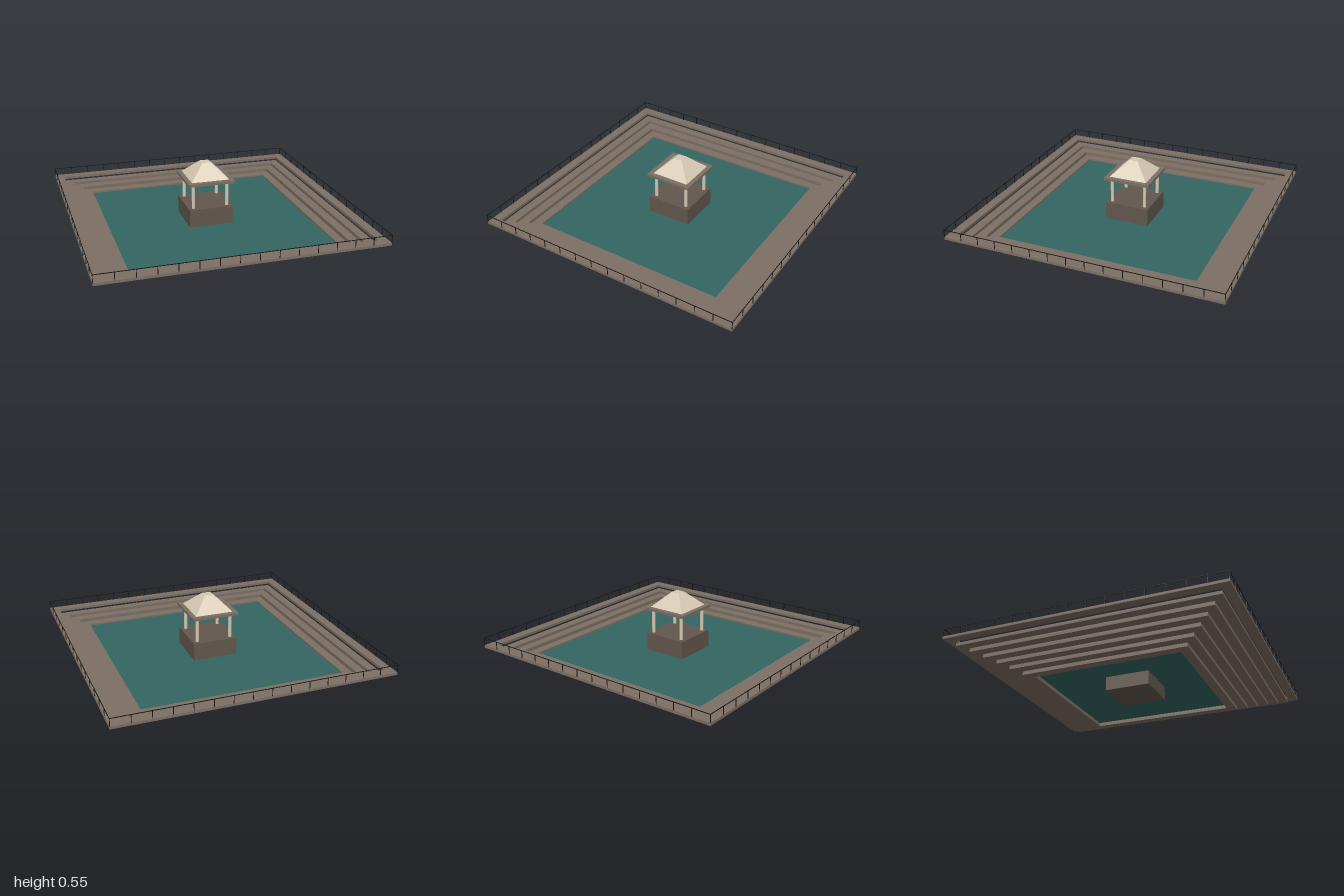
import * as THREE from 'three';

const mat = (name, color) => Object.assign(new THREE.MeshStandardMaterial({ color }), { name });

export function createModel() {
  const stone = mat('stone', 0x7d7065);
  const darkStone = mat('dark stone', 0x62574d);
  const cream = mat('cream', 0xd6cab4);
  const teal = mat('teal water', 0x346662);
  const black = mat('black iron', 0x141414);

  const model = new THREE.Group();
  model.name = 'steppedPool';

  const add = (parent, name, geometry, material, x = 0, y = 0, z = 0) => {
    const mesh = new THREE.Mesh(geometry, material);
    mesh.name = name;
    mesh.position.set(x, y, z);
    parent.add(mesh);
    return mesh;
  };
  const box = (parent, name, w, h, d, material, x, y, z) =>
    add(parent, name, new THREE.BoxGeometry(w, h, d), material, x, y, z);

  // Square ring with a square hole, standing from y0 to y1
  const square = (Type, r) => new Type([[-r, -r], [r, -r], [r, r], [-r, r]].map(([x, y]) => new THREE.Vector2(x, y)));
  const ring = (name, outer, inner, y0, y1) => {
    const shape = square(THREE.Shape, outer);
    shape.holes.push(square(THREE.Path, inner));
    const geometry = new THREE.ExtrudeGeometry(shape, { depth: y1 - y0, bevelEnabled: false });
    geometry.rotateX(-Math.PI / 2);
    add(model, name, geometry, stone, 0, y0, 0);
  };

  // Rim floats slightly above six steps that narrow downwards
  const tread = 1 / 15, rise = 0.0267;
  ring('rim', 1, 1 - tread, 0.181, 0.2);
  for (let i = 1; i <= 6; i++) {
    const bottom = 0.0133 + (6 - i) * rise;
    const top = i === 1 ? 0.169 : bottom + rise;
    ring('step' + i, 1 - i * tread, 1 - (i + 1) * tread, bottom, top);
  }

  // Water surface
  box(model, 'water', 1.468, 0.006, 1.468, teal, 0, 0.105, 0);

  // Railing: one top rail and evenly spaced posts on each side
  const railing = new THREE.Group();
  railing.name = 'railing';
  model.add(railing);
  const t = 0.004, edge = 1 - t / 2;
  for (let side = 0; side < 4; side++) {
    const run = new THREE.Group();
    run.name = 'railingSide';
    run.rotation.y = side * Math.PI / 2;
    railing.add(run);
    box(run, 'topRail', 2, t, t, black, 0, 0.255, edge);
    for (let i = 0; i < 15; i++) {
      box(run, 'post', t, 0.055, t, black, -edge + i * edge * 2 / 15, 0.2275, edge);
    }
  }

  // Pavilion on a plinth in the middle
  const pavilion = new THREE.Group();
  pavilion.name = 'pavilion';
  model.add(pavilion);
  box(pavilion, 'plinth', 0.33, 0.24, 0.33, darkStone, 0, 0.12, 0);
  for (const x of [-1, 1]) for (const z of [-1, 1]) {
    add(pavilion, 'column', new THREE.CylinderGeometry(0.0125, 0.0125, 0.18, 12), cream, x * 0.127, 0.33, z * 0.127);
  }
  box(pavilion, 'eaves', 0.346, 0.02, 0.346, stone, 0, 0.43, 0);

  // Truncated pyramid roof
  const roof = new THREE.CylinderGeometry(0.033 * Math.SQRT2, 0.141 * Math.SQRT2, 0.107, 4).toNonIndexed();
  roof.rotateY(Math.PI / 4);
  roof.computeVertexNormals();
  add(pavilion, 'roof', roof, cream, 0, 0.4935, 0);

  return model;
}
